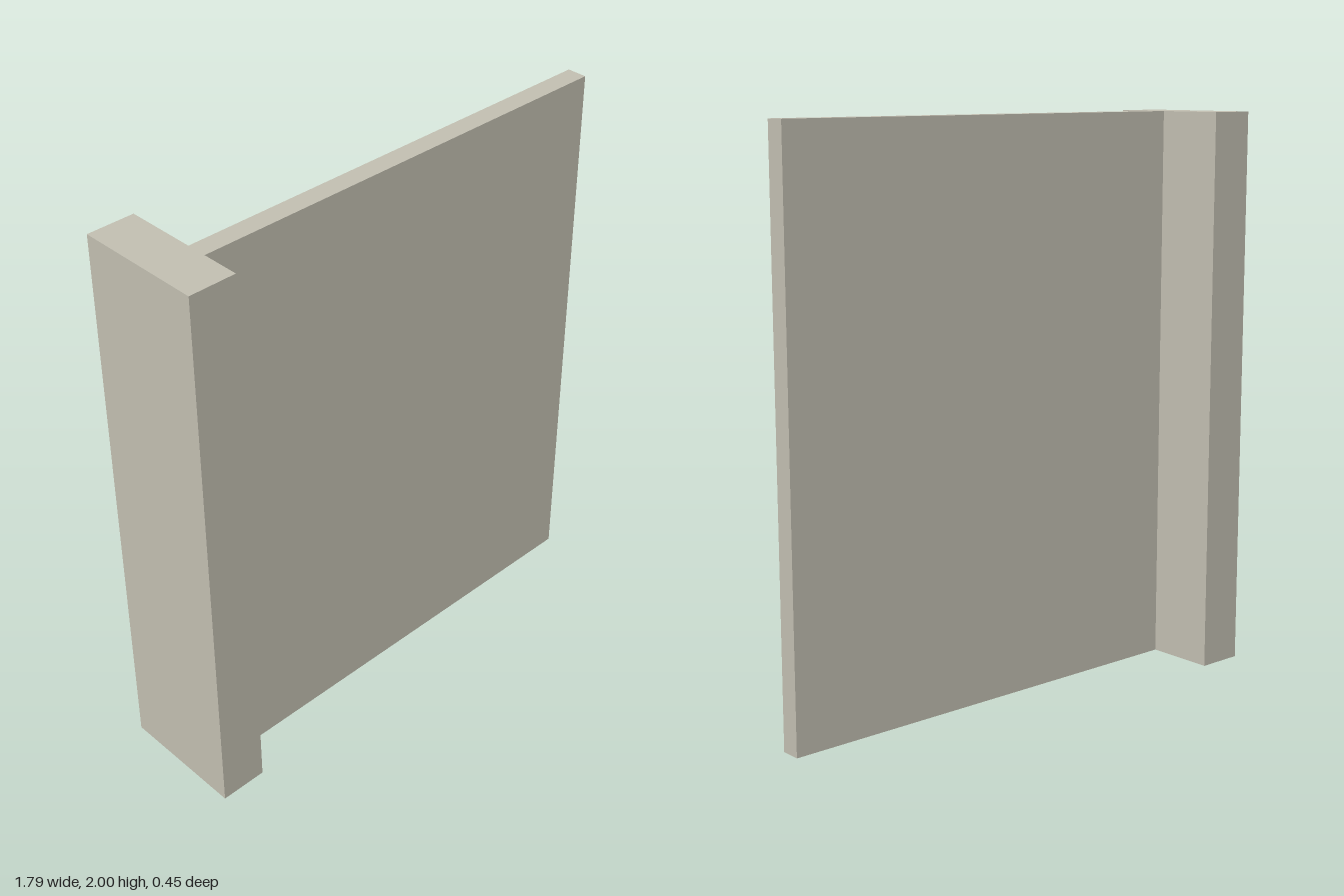
import * as THREE from 'three';

const HEIGHT = 2;

export function createModel() {
  const model = new THREE.Group();
  model.name = 'wallWithPost';

  const plaster = new THREE.MeshStandardMaterial({ color: 0xc4c1b3 });
  plaster.name = 'warm grey plaster';

  // Full-height block spanning the given x and z ranges
  const addBlock = (name, x0, x1, z0, z1) => {
    const mesh = new THREE.Mesh(new THREE.BoxGeometry(x1 - x0, HEIGHT, z1 - z0), plaster);
    mesh.position.set((x0 + x1) / 2, HEIGHT / 2, (z0 + z1) / 2);
    mesh.name = name;
    model.add(mesh);
  };

  // Thick end post and the thin wall panel that butts against it
  addBlock('endPost', -0.897, -0.73, -0.227, 0.227);
  addBlock('wallPanel', -0.73, 0.897, 0.022, 0.093);

  return model;
}
